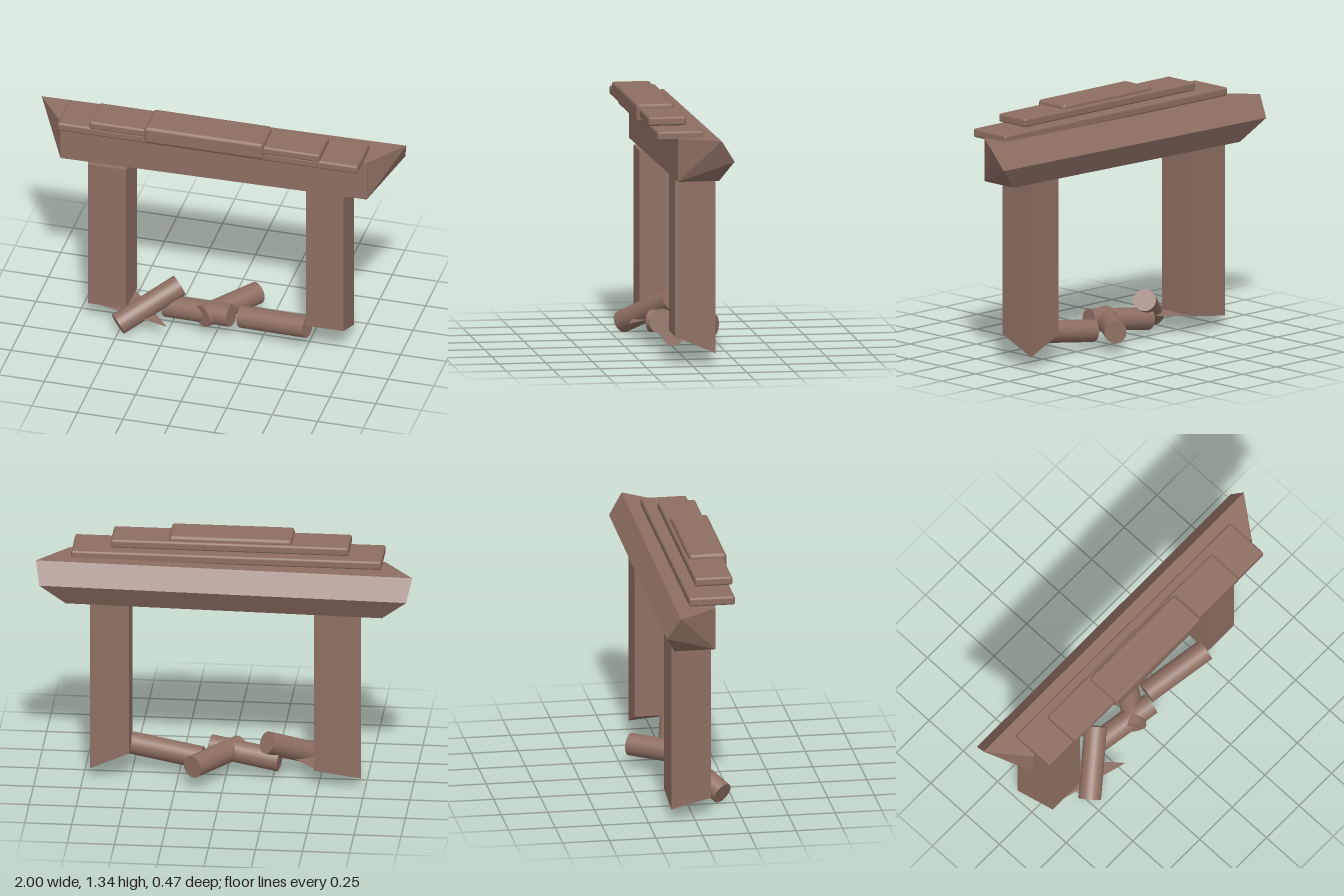
import * as THREE from 'three';
import { ConvexGeometry } from 'three/addons/geometries/ConvexGeometry.js';
import { RoundedBoxGeometry } from 'three/addons/geometries/RoundedBoxGeometry.js';

const V = (x, y, z) => new THREE.Vector3(x, y, z);

export function createModel() {
  const group = new THREE.Group();
  const wood = new THREE.MeshStandardMaterial({ color: 0x8d6e63 });

  const add = (name, geometry, material = wood) => {
    const mesh = new THREE.Mesh(geometry, material);
    mesh.name = name;
    group.add(mesh);
    return mesh;
  };

  // Mantel beam: one end section mirrored, tilted slightly up towards +x
  const section = [
    [0.84, 1.0, 0.095], [0.84, 1.23, 0.095], [1.0, 1.234, -0.115],
    [0.975, 1.12, -0.187], [0.84, 1.0, -0.125],
  ];
  const beamPoints = [];
  for (const s of [-1, 1]) {
    for (const [x, y, z] of section) beamPoints.push(V(s * x, y + s * x * 0.012, z));
  }
  add('mantelBeam', new ConvexGeometry(beamPoints));

  // Posts: four corners, each [x, z, bottom, top]
  const post = (name, corners) => add(name, new ConvexGeometry(
    corners.flatMap(([x, z, y0, y1]) => [V(x, y0, z), V(x, y1, z)])));
  post('leftPost', [
    [0.505, 0.09, 0.16, 1.01], [0.71, 0.09, 0.16, 1.01],
    [0.71, -0.125, 0.068, 1.01], [0.505, -0.125, 0.16, 1.01],
  ]);
  post('rightPost', [
    [-0.69, 0.095, 0.105, 0.975], [-0.48, 0.095, 0.105, 0.975],
    [-0.48, -0.125, 0.1, 1.0], [-0.73, -0.125, 0.065, 1.0],
  ]);

  // Thin splinter sticking out from the foot of the right post
  const splinter = new THREE.BufferGeometry().setFromPoints(
    [V(-0.65, 0.1, 0.08), V(-0.23, 0.09, 0.19), V(-0.48, 0.1, -0.1)]);
  splinter.computeVertexNormals();
  const thin = wood.clone();
  thin.side = THREE.DoubleSide;
  add('footSplinter', splinter, thin);

  // Stacked shelf slabs: [x0, x1, y0, y1, z0, z1, edge]
  const slabs = [
    [-0.83, 0.82, 1.228, 1.276, -0.045, 0.203, 0.012],
    [-0.65, 0.615, 1.276, 1.323, 0.015, 0.218, 0.012],
    [-0.345, 0.308, 1.25, 1.347, 0.032, 0.235, 0.018],
  ];
  slabs.forEach(([x0, x1, y0, y1, z0, z1, edge], i) => {
    add(`shelfSlab${i + 1}`, new RoundedBoxGeometry(x1 - x0, y1 - y0, z1 - z0, 1, edge))
      .position.set((x0 + x1) / 2, (y0 + y1) / 2, (z0 + z1) / 2);
  });

  // Logs: centre of each end
  const logs = [
    [V(-0.5, 0.06, 0.185), V(-0.222, 0.215, -0.035)],
    [V(-0.285, 0.1, 0.0), V(0.09, 0.142, 0.07)],
    [V(-0.06, 0.13, 0.1), V(0.16, 0.13, -0.203)],
    [V(0.128, 0.1, 0.0), V(0.508, 0.142, 0.07)],
  ];
  logs.forEach(([a, b], i) => {
    const axis = b.clone().sub(a);
    const log = add(`log${i + 1}`, new THREE.CylinderGeometry(0.06, 0.06, axis.length(), 24));
    log.position.copy(a).add(b).multiplyScalar(0.5);
    log.quaternion.setFromUnitVectors(V(0, 1, 0), axis.normalize());
  });

  return group;
}
